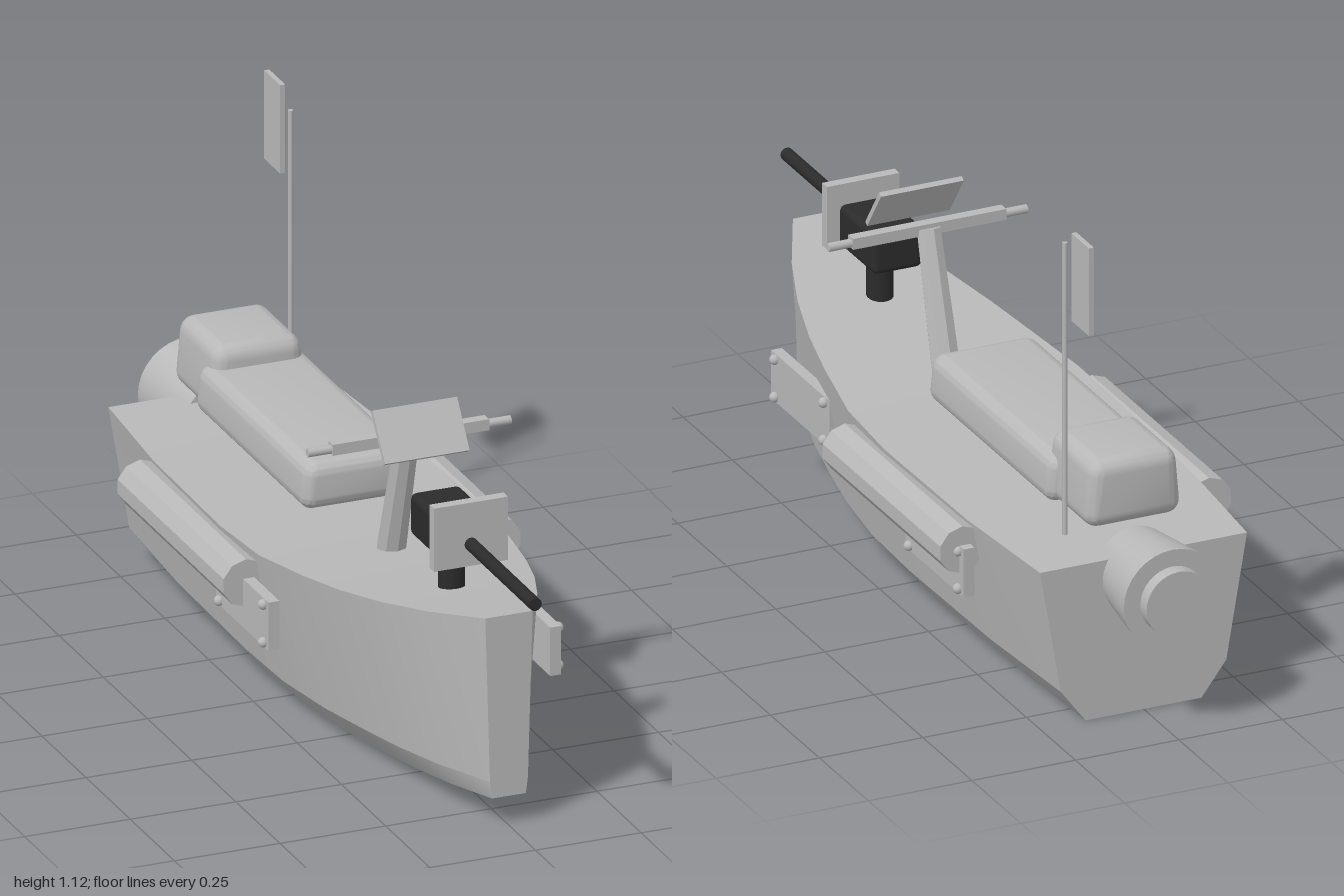
import * as THREE from 'three';
import { RoundedBoxGeometry } from 'three/addons/geometries/RoundedBoxGeometry.js';
import { mergeGeometries, toCreasedNormals } from 'three/addons/utils/BufferGeometryUtils.js';

const grey = new THREE.MeshStandardMaterial({ color: 0xb8b8b8 });
grey.name = 'paleGrey';
const dark = new THREE.MeshStandardMaterial({ color: 0x2b2b2b });
dark.name = 'gunBlack';

// z, then half-width and height of the deck edge, chine and bottom edge
const stations = [
  [-0.82, 0.250, 0.375, 0.200, 0.080, 0.140, 0.000],
  [-0.50, 0.275, 0.376, 0.220, 0.080, 0.155, 0.000],
  [-0.10, 0.285, 0.382, 0.225, 0.080, 0.160, 0.003],
  [0.10, 0.278, 0.391, 0.220, 0.082, 0.157, 0.009],
  [0.28, 0.248, 0.408, 0.198, 0.086, 0.140, 0.018],
  [0.42, 0.220, 0.425, 0.172, 0.091, 0.120, 0.027],
  [0.56, 0.182, 0.446, 0.142, 0.096, 0.100, 0.038],
  [0.70, 0.130, 0.470, 0.102, 0.102, 0.075, 0.052],
  [0.85, 0.056, 0.500, 0.045, 0.110, 0.040, 0.070],
];

function geometryFrom(points, index) {
  const g = new THREE.BufferGeometry();
  g.setAttribute('position', new THREE.Float32BufferAttribute(points, 3));
  g.setIndex(index);
  g.computeVertexNormals();
  return g;
}

// Each strip has its own normals: smooth along the hull, sharp at the chines
function hullGeometry() {
  const rings = stations.map(([z, a, ay, b, by, c, cy]) => [
    [a, ay, z], [b, by, z], [c, cy, z], [-c, cy, z], [-b, by, z], [-a, ay, z],
  ]);
  const parts = [];
  for (let j = 0; j < 6; j++) {
    const points = [], index = [];
    rings.forEach((r, i) => {
      points.push(...r[j], ...r[(j + 1) % 6]);
      if (i < rings.length - 1) {
        const k = i * 2;
        index.push(k, k + 2, k + 1, k + 1, k + 2, k + 3);
      }
    });
    parts.push(geometryFrom(points, index));
  }
  // Transom and blunt bow
  const fan = [0, 1, 2, 0, 2, 3, 0, 3, 4, 0, 4, 5];
  parts.push(geometryFrom(rings[0].flat(), fan));
  parts.push(geometryFrom(rings[rings.length - 1].slice().reverse().flat(), fan));
  return mergeGeometries(parts);
}

// Rounded cushion whose top is narrower than its base
function cushion(w, h, d, r, taper) {
  const g = new RoundedBoxGeometry(w, h, d, 4, r);
  const p = g.attributes.position;
  for (let i = 0; i < p.count; i++) {
    p.setX(i, p.getX(i) * (1 - taper * (p.getY(i) / h + 0.5)));
  }
  return toCreasedNormals(g, 0.6);
}

export function createModel() {
  const boat = new THREE.Group();
  boat.name = 'patrolBoat';

  function add(name, geometry, material, x, y, z, parent = boat) {
    const m = new THREE.Mesh(geometry, material);
    m.name = name;
    m.position.set(x, y, z);
    parent.add(m);
    return m;
  }
  const box = (w, h, d) => new THREE.BoxGeometry(w, h, d);
  const rod = (r1, r2, len, n = 20) => new THREE.CylinderGeometry(r1, r2, len, n);
  const rodZ = (front, back, len, n = 32) => rod(front, back, len, n).rotateX(Math.PI / 2);
  const faceted = (g) => toCreasedNormals(g, 0.3);

  add('hull', hullGeometry(), grey, 0, 0, 0);

  // Seat
  add('seat', cushion(0.27, 0.11, 0.63, 0.03, 0.08), grey, 0, 0.485, -0.305);
  add('backrest', cushion(0.235, 0.16, 0.23, 0.035, 0.12), grey, 0, 0.51, -0.67);

  // Jet drive
  add('jetHousing', rodZ(0.092, 0.118, 0.2), grey, 0, 0.325, -0.868);
  add('jetNozzle', rodZ(0.078, 0.078, 0.06), grey, 0, 0.325, -0.97);

  // Steering
  const column = add('steeringColumn', faceted(rod(0.028, 0.034, 0.33, 8)), grey, 0, 0.545, 0.229);
  column.rotation.x = 0.29;
  add('handlebar', box(0.37, 0.026, 0.026), grey, 0, 0.702, 0.283);
  for (const s of [-1, 1]) {
    add('handleGrip', rod(0.01, 0.01, 0.06, 12).rotateZ(Math.PI / 2), grey, s * 0.21, 0.7, 0.283);
  }
  const screen = add('windscreen', box(0.2, 0.122, 0.012), grey, 0, 0.738, 0.348);
  screen.rotation.x = -0.62;

  // Deck gun
  const gun = new THREE.Group();
  gun.name = 'deckGun';
  boat.add(gun);
  add('gunMount', rod(0.03, 0.03, 0.12), dark, 0, 0.49, 0.525, gun);
  add('gunBody', new RoundedBoxGeometry(0.12, 0.1, 0.185, 3, 0.015), dark, 0, 0.585, 0.52, gun);
  add('gunShield', box(0.175, 0.15, 0.025), grey, 0, 0.606, 0.622, gun);
  add('gunBarrel', rodZ(0.015, 0.015, 0.4, 16), dark, 0, 0.583, 0.8, gun);

  // Side floats
  for (const s of [-1, 1]) {
    add('sideFloat', faceted(rodZ(0.056, 0.056, 0.6, 10)), grey, s * 0.298, 0.319, -0.225);
  }

  // Bolted side plates
  for (const [x, z, s] of [[0.222, 0.435, 1], [0.292, -0.398, 1], [-0.292, 0.07, -1]]) {
    const plate = new THREE.Group();
    plate.name = 'boltedPlate';
    plate.position.set(x, 0.272, z);
    boat.add(plate);
    add('plate', box(0.026, 0.115, 0.297), grey, 0, 0, 0, plate);
    for (const dy of [-0.045, 0.045]) {
      for (const dz of [-0.125, 0.125]) {
        add('bolt', new THREE.SphereGeometry(0.012, 12, 8), grey, s * 0.016, dy, dz, plate);
      }
    }
  }

  // Flag
  add('flagPole', rod(0.006, 0.006, 0.7, 12), grey, 0.118, 0.73, -0.668);
  add('flag', box(0.012, 0.21, 0.09), grey, 0.118, 1.017, -0.758);

  return boat;
}
